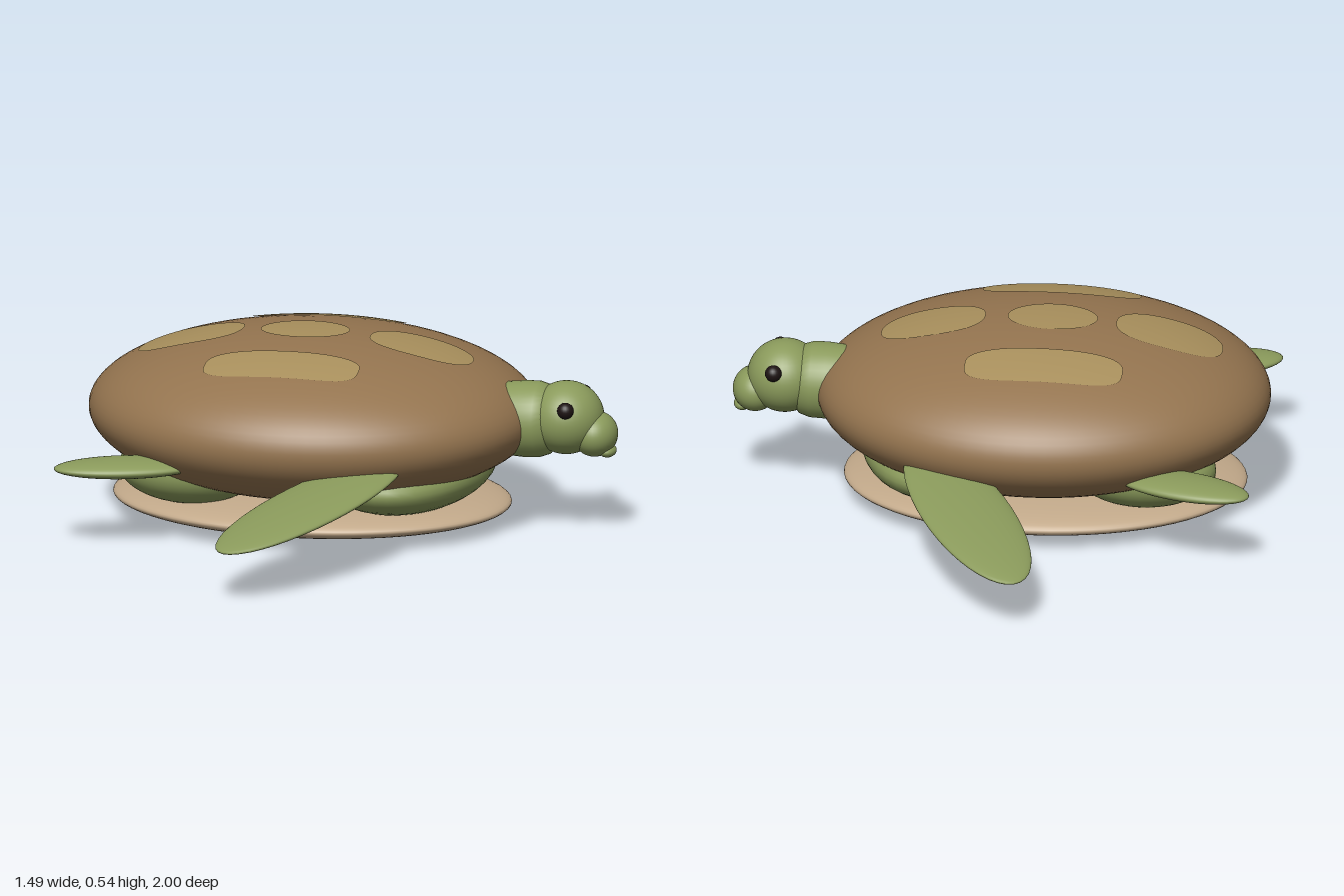
import * as THREE from 'three';

const mat = (name, color, extra = {}) => {
  const m = new THREE.MeshStandardMaterial({ color, ...extra });
  m.name = name;
  return m;
};

export function createModel() {
  const root = new THREE.Group();
  root.name = 'seaTurtle';

  const skin = mat('mossGreen', 0x8a9a5b);
  const shellBrown = mat('shellBrown', 0x94744f);
  const scuteTan = mat('scuteTan', 0xa88f5c, { side: THREE.DoubleSide });
  const bellyCream = mat('bellyCream', 0xc2a98a);
  const eyeDark = mat('eyeDark', 0x1e1414);

  const add = (name, geometry, material, [x, y, z] = [0, 0, 0]) => {
    const mesh = new THREE.Mesh(geometry, material);
    mesh.name = name;
    mesh.position.set(x, y, z);
    root.add(mesh);
    return mesh;
  };
  const ellipsoid = (name, material, center, [rx, ry, rz], segments = 40) =>
    add(name, new THREE.SphereGeometry(1, segments, segments * 0.6).scale(rx, ry, rz), material, center);

  // Carapace and belly plate
  const C = [-0.12, 0.31, 0], R = [0.63, 0.225, 0.545];
  ellipsoid('carapace', shellBrown, C, R, 72);
  ellipsoid('bellyPlate', bellyCream, [-0.125, 0.06, 0], [0.56, 0.058, 0.415], 64);

  // Thin scutes that follow the curve of the carapace
  const scute = (name, cx, cz, rx, rz, power) => {
    const rings = 10, sides = 56, pos = [], index = [];
    const round = v => Math.sign(v) * Math.abs(v) ** (2 / power);
    for (let i = 0; i <= rings; i++) {
      for (let j = 0; j < sides; j++) {
        const a = (j / sides) * Math.PI * 2, k = i / rings;
        const x = cx + rx * k * round(Math.cos(a));
        const z = cz + rz * k * round(Math.sin(a));
        const h = 1 - ((x - C[0]) / R[0]) ** 2 - (z / R[2]) ** 2;
        pos.push(x, C[1] + R[1] * Math.sqrt(h) + 0.003, z);
        if (i === rings) continue;
        const p = i * sides + j, q = i * sides + ((j + 1) % sides);
        if (i > 0) index.push(p, q, p + sides);
        index.push(q, q + sides, p + sides);
      }
    }
    const g = new THREE.BufferGeometry();
    g.setAttribute('position', new THREE.Float32BufferAttribute(pos, 3));
    g.setIndex(index);
    g.computeVertexNormals();
    add(name, g, scuteTan);
  };
  scute('middleScute', -0.145, 0, 0.125, 0.09, 2);
  scute('frontScute', 0.187, 0, 0.145, 0.097, 2.4);
  scute('rearScute', -0.47, 0, 0.148, 0.102, 2.5);

  // Shoulders, neck and head
  ellipsoid('shoulders', skin, [0.15, 0.17, 0], [0.235, 0.11, 0.4]);
  const neckProfile = [[0, -0.16], [0.09, -0.16], [0.1, -0.06], [0.107, 0.02], [0.106, 0.06], [0.096, 0.09], [0.07, 0.11], [0, 0.12]]
    .map(p => new THREE.Vector2(...p));
  const neck = add('neck', new THREE.LatheGeometry(neckProfile, 40), skin, [0.465, 0.318, 0]);
  neck.rotation.z = -Math.PI / 2 + 0.03;
  ellipsoid('head', skin, [0.6, 0.33, 0], [0.105, 0.102, 0.11]);
  ellipsoid('snout', skin, [0.682, 0.288, 0], [0.063, 0.063, 0.076]);
  ellipsoid('beak', skin, [0.718, 0.242, 0], [0.024, 0.018, 0.036], 24);

  // Paired parts, mirrored across the body
  for (const s of [1, -1]) {
    const side = s > 0 ? 'right' : 'left';
    scute(side + 'Scute', -0.145, s * 0.275, 0.22, 0.075, 3.2);
    ellipsoid(side + 'Eye', eyeDark, [0.623, 0.375, s * 0.103], [0.023, 0.023, 0.023], 24);
    ellipsoid(side + 'Hip', skin, [-0.42, 0.18, s * 0.22], [0.2, 0.1, 0.14]);

    const front = ellipsoid(side + 'FrontFlipper', skin, [0.03, 0.206, s * 0.65], [0.13, 0.024, 0.385]);
    front.rotation.set(s * 0.155, -s * 0.44, 0, 'YXZ');
    const hind = ellipsoid(side + 'HindFlipper', skin, [-0.548, 0.225, s * 0.44], [0.2, 0.026, 0.085]);
    hind.rotation.y = s * 0.35;
  }
  return root;
}
